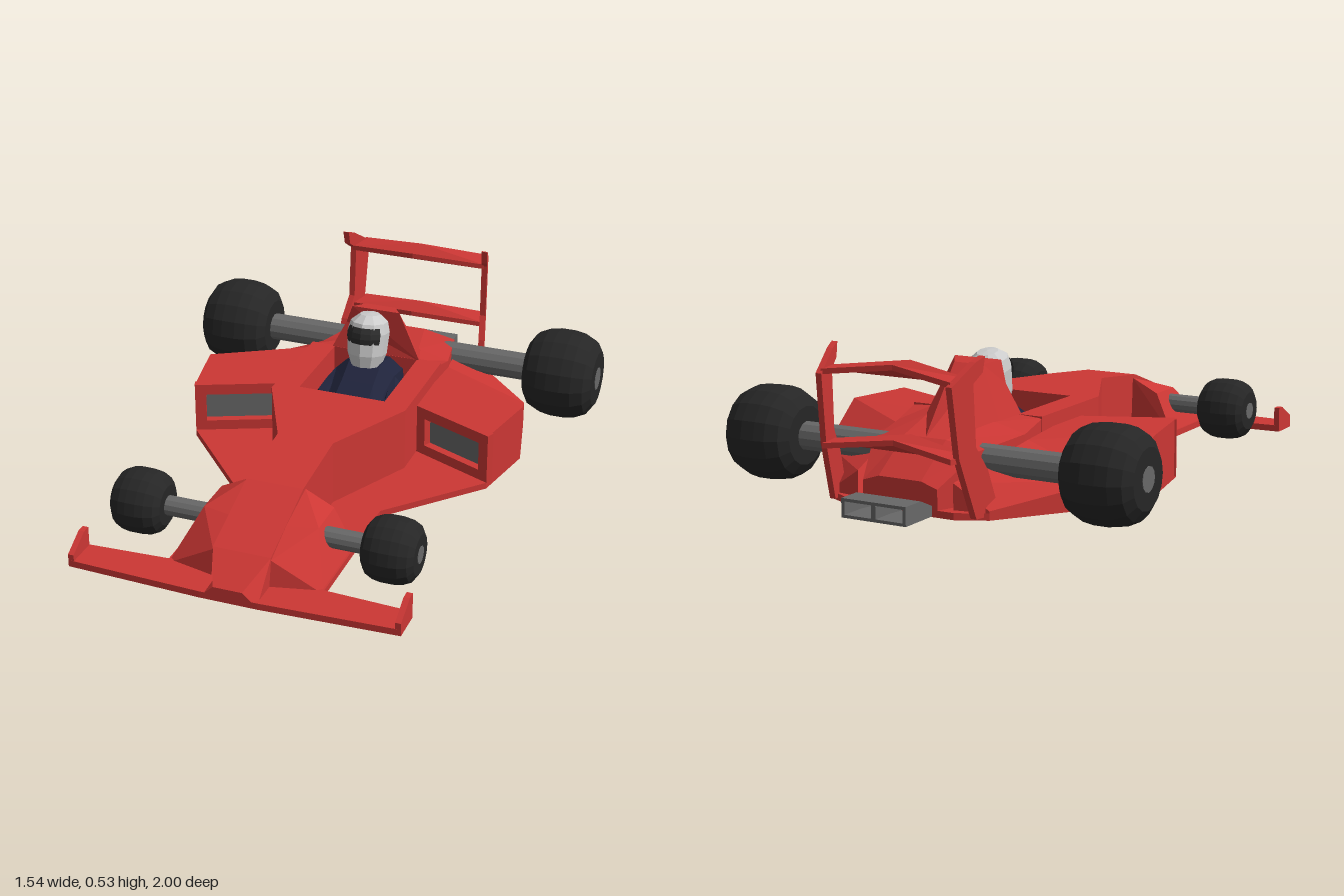
import * as THREE from 'three';

const paint = (color) => new THREE.MeshStandardMaterial({ color, flatShading: true, side: THREE.DoubleSide });
const RED = paint(0xcc3734), GREY = paint(0x686868), TYRE = paint(0x262626);
const NAVY = paint(0x20243c), SHELL = paint(0xc4c4c4), DARK = paint(0x2c2c2c);

function add(parent, name, geometry, material) {
  const mesh = new THREE.Mesh(geometry, material);
  mesh.name = name;
  parent.add(mesh);
  return mesh;
}

// Flat polygons, each a convex loop of corners
function panels(faces) {
  const out = [];
  for (const f of faces)
    for (let i = 1; i < f.length - 1; i++) out.push(...f[0], ...f[i], ...f[i + 1]);
  const g = new THREE.BufferGeometry();
  g.setAttribute('position', new THREE.Float32BufferAttribute(out, 3));
  g.computeVertexNormals();
  return g;
}

// Symmetric cross-sections [z, [x, y], ...] listed down the left side, joined and capped
function loft(sections) {
  const loops = sections.map(([z, ...half]) => [
    ...half.map(([x, y]) => [x, y, z]),
    ...half.map(([x, y]) => [-x, y, z]).reverse(),
  ]);
  const faces = [loops[0], loops[loops.length - 1]];
  for (let s = 0; s < loops.length - 1; s++) {
    const a = loops[s], b = loops[s + 1];
    a.forEach((p, i) => {
      const j = (i + 1) % a.length;
      faces.push([p, a[j], b[j], b[i]]);
    });
  }
  return panels(faces);
}

const shapeOf = (pts) => new THREE.Shape(pts.map(([x, y]) => new THREE.Vector2(x, y)));
const mirrored = (half) => [...half, ...half.map(([x, z]) => [-x, z]).reverse()];

// Slab from a plan outline of [x, z] points
function slab(plan, top, thick, hole) {
  const shape = shapeOf(plan);
  if (hole) shape.holes.push(shapeOf(hole));
  return new THREE.ExtrudeGeometry(shape, { depth: thick, bevelEnabled: false })
    .rotateX(Math.PI / 2).translate(0, top, 0);
}

// Upright plate from a side outline of [z, y] points; xAt gives its inner x
function plate(outline, thick, xAt) {
  const g = new THREE.ExtrudeGeometry(shapeOf(outline), { depth: thick, bevelEnabled: false });
  const p = g.attributes.position;
  for (let i = 0; i < p.count; i++) {
    const z = p.getX(i);
    p.setXYZ(i, xAt(z) + p.getZ(i), p.getY(i), z);
  }
  g.computeVertexNormals();
  return g;
}

const rectangle = (x0, y0, x1, y1) => [[x0, y0], [x1, y0], [x1, y1], [x0, y1]];

function wheel(parent, name, radius, x0, x1, y, z, hubR, axleR) {
  const w = (x1 - x0) / 2, group = new THREE.Group();
  group.name = name;
  const half = [[0.62, 1], [0.84, 0.82], [0.96, 0.5], [1, 0.2]];
  const profile = [[0, 1], ...half, ...half.map(([r, h]) => [r, -h]).reverse(), [0, -1]]
    .map(([r, h]) => new THREE.Vector2(r * radius, -h * w));
  add(group, 'tyre', new THREE.LatheGeometry(profile, 16).rotateZ(Math.PI / 2), TYRE)
    .position.x = (x0 + x1) / 2;
  add(group, 'hub', new THREE.CylinderGeometry(hubR, hubR, 0.02, 12).rotateZ(Math.PI / 2), GREY)
    .position.x = x1 - 0.008;
  const length = x0 - 0.18;
  add(group, 'axle', new THREE.CylinderGeometry(axleR, axleR, length, 12).rotateZ(Math.PI / 2), GREY)
    .position.x = 0.18 + length / 2;
  group.position.set(0, y, z);
  parent.add(group);
}

// Everything that exists once on each side, built for the left
function buildSide() {
  const side = new THREE.Group();
  wheel(side, 'rearWheel', 0.163, 0.51, 0.77, 0.165, -0.64, 0.042, 0.05);
  wheel(side, 'frontWheel', 0.112, 0.35, 0.53, 0.12, 0.68, 0.03, 0.034);

  // Sidepod, top falling and narrowing to the rear
  const A = [0.55, 0.215, 0.02], B = [0.25, 0.215, -0.11], C = [0.6, 0.215, -0.23], D = [0.25, 0.215, -0.3];
  const E = [0.54, 0.1, -0.48], F = [0.25, 0.2, -0.47], G = [0.3, 0.04, -0.8], H = [0.18, 0.12, -0.82];
  const low = ([x, , z]) => [x, 0.015, z];
  const wall = (a, b) => [a, low(a), low(b), b];
  add(side, 'sidepod', panels([[A, C, D, B], [C, E, F, D], [E, G, H, F],
    wall(A, C), wall(C, E), wall(E, G), wall(G, H)]), RED);

  // Swept air inlet: frame with a grey duct set behind it
  const inlet = new THREE.Group();
  inlet.name = 'airInlet';
  const frame = shapeOf(rectangle(0, 0.02, 0.327, 0.215));
  frame.holes.push(shapeOf(rectangle(0.04, 0.07, 0.29, 0.175)));
  add(inlet, 'inletFrame', new THREE.ExtrudeGeometry(frame, { depth: 0.03, bevelEnabled: false }), RED);
  add(inlet, 'inletDuct', new THREE.PlaneGeometry(0.26, 0.13), GREY).position.set(0.165, 0.12, 0.03);
  inlet.position.set(0.55, 0, 0.02);
  inlet.rotation.y = Math.atan2(0.13, -0.3);
  side.add(inlet);

  // Fairing where the front axle meets the nose
  const P1 = [0.2, 0.17, 0.58], P2 = [0.2, 0.17, 0.72], Q1 = [0.1, 0.22, 0.58], Q2 = [0.1, 0.175, 0.75];
  const B1 = [0.27, 0.02, 0.57], B2 = [0.27, 0.02, 0.86], I2 = [0.1, 0.12, 0.88];
  add(side, 'axleFairing', panels([[Q1, P1, P2, Q2], [P1, B1, B2, P2], [P2, B2, I2, Q2],
    [Q1, P1, B1, [0.1, 0.02, 0.57]], [B2, I2, [0.1, 0.02, 0.9]]]), RED);

  add(side, 'frontWingEndplate',
    plate([[0.87, 0.01], [0.98, 0.01], [0.98, 0.055], [0.9, 0.1], [0.87, 0.1]], 0.02, () => 0.55), RED);
  add(side, 'rearWingEndplate', plate([[-0.8, 0.53], [-0.84, 0.515], [-0.94, 0.45], [-0.91, 0.22],
    [-0.84, 0.02], [-0.74, 0.02], [-0.79, 0.17], [-0.84, 0.25], [-0.85, 0.45], [-0.81, 0.48]],
  0.022, (z) => 0.285 + (z + 0.72) * 0.25), RED);
  return side;
}

export function createModel() {
  const car = new THREE.Group();
  car.name = 'racingCar';

  // Floor and front wing share one flat pan
  add(car, 'floor', slab(mirrored([[0.1, 1], [0.57, 0.98], [0.57, 0.87], [0.27, 0.855], [0.27, 0.33],
    [0.55, 0.02], [0.6, -0.23], [0.54, -0.48], [0.3, -0.8], [0.2, -0.85]]), 0.033, 0.023), RED);

  // Nose, cockpit tub and rear deck
  add(car, 'nose', loft([
    [0.33, [0.1, 0.26], [0.1, 0.02]], [0.6, [0.1, 0.23], [0.1, 0.02]],
    [0.88, [0.1, 0.13], [0.1, 0.02]], [1, [0.05, 0.06], [0.1, 0.015]]]), RED);
  add(car, 'cockpitTub', slab(mirrored([[0.1, 0.33], [0.25, 0.02], [0.25, -0.38]]), 0.26, 0.24,
    mirrored([[0.16, -0.02], [0.16, -0.37]])), RED);
  add(car, 'rearDeck', loft([
    [-0.37, [0.17, 0.26], [0.25, 0.255], [0.25, 0.02]],
    [-0.48, [0.13, 0.25], [0.245, 0.22], [0.245, 0.02]],
    [-0.7, [0.08, 0.225], [0.2, 0.2], [0.2, 0.02]],
    [-0.85, [0.08, 0.12], [0.14, 0.1], [0.14, 0.02]]]), RED);

  // Engine cover rising behind the driver
  const a = [0.17, 0.255, -0.37], b = [0.12, 0.36, -0.39], c = [0.09, 0.435, -0.37];
  const r = [0.055, 0.425, -0.43], d = [0.14, 0.25, -0.47], t = [0, 0.22, -0.7];
  const m = ([x, y, z]) => [-x, y, z];
  const flank = [[a, d, b], [b, r, c], [b, d, r], [d, t, r]];
  add(car, 'engineCover', panels([[a, b, c, m(c), m(b), m(a)], [c, r, m(r), m(c)], [r, t, m(r)],
    ...flank, ...flank.map((f) => f.map(m))]), RED);

  // Two swept rear wing blades, arched to the middle
  for (const [name, y] of [['upperWingBlade', 0.49], ['lowerWingBlade', 0.25]]) {
    const g = slab([[0, -0.78], [0.265, -0.84], [0.24, -0.93], [0, -0.885], [-0.24, -0.93], [-0.265, -0.84]], y, 0.018);
    const p = g.attributes.position;
    for (let i = 0; i < p.count; i++) p.setY(i, p.getY(i) - Math.abs(p.getX(i)) * 0.11);
    add(car, name, g, RED);
  }

  // Twin-channel diffuser with a ramped front
  const box = shapeOf(rectangle(-0.12, 0.012, 0.12, 0.075));
  for (const x of [-0.108, 0.008]) box.holes.push(shapeOf(rectangle(x, 0.022, x + 0.1, 0.065)));
  const diffuser = new THREE.ExtrudeGeometry(box, { depth: 0.17, steps: 2, bevelEnabled: false }).translate(0, 0, -1);
  const dp = diffuser.attributes.position;
  for (let i = 0; i < dp.count; i++)
    if (dp.getZ(i) > -0.85) dp.setY(i, 0.012 + (dp.getY(i) - 0.012) * 0.4);
  add(car, 'diffuser', diffuser, GREY);

  // Driver: torso, arms and helmet
  const driver = new THREE.Group();
  driver.name = 'driver';
  add(driver, 'torso', loft([
    [-0.36, [0.06, 0.26], [0.11, 0.22], [0.13, 0.05]], [-0.26, [0.06, 0.275], [0.11, 0.235], [0.14, 0.05]],
    [-0.18, [0.06, 0.23], [0.1, 0.2], [0.15, 0.05]], [-0.025, [0.07, 0.14], [0.11, 0.12], [0.155, 0.05]]]), NAVY);
  for (const s of [1, -1]) {
    const arm = new THREE.CatmullRomCurve3([[0.1, 0.21, -0.27], [0.128, 0.17, -0.17], [0.08, 0.18, -0.06]]
      .map(([x, y, z]) => new THREE.Vector3(s * x, y, z)));
    add(driver, 'arm', new THREE.TubeGeometry(arm, 4, 0.027, 6), NAVY);
  }
  const helmet = new THREE.Group();
  helmet.name = 'helmet';
  const ring = (pts, ...arc) => new THREE.LatheGeometry(pts.map(([x, y]) => new THREE.Vector2(x, y)), ...arc);
  add(helmet, 'helmetShell', ring([[0, -0.095], [0.055, -0.095], [0.07, -0.05], [0.075, 0.03], [0.066, 0.068],
    [0.036, 0.093], [0, 0.097]], 10), SHELL);
  add(helmet, 'visor', ring([[0.073, -0.005], [0.078, 0.015], [0.077, 0.035], [0.07, 0.055]], 4, -0.94, 1.88), DARK);
  helmet.scale.z = 1.15;
  helmet.rotation.x = -0.2;
  helmet.position.set(0, 0.355, -0.29);
  driver.add(helmet);
  car.add(driver);

  // Mirrored sides
  for (const s of [1, -1]) {
    const side = buildSide();
    side.name = s > 0 ? 'leftSide' : 'rightSide';
    side.scale.x = s;
    car.add(side);
  }
  return car;
}
